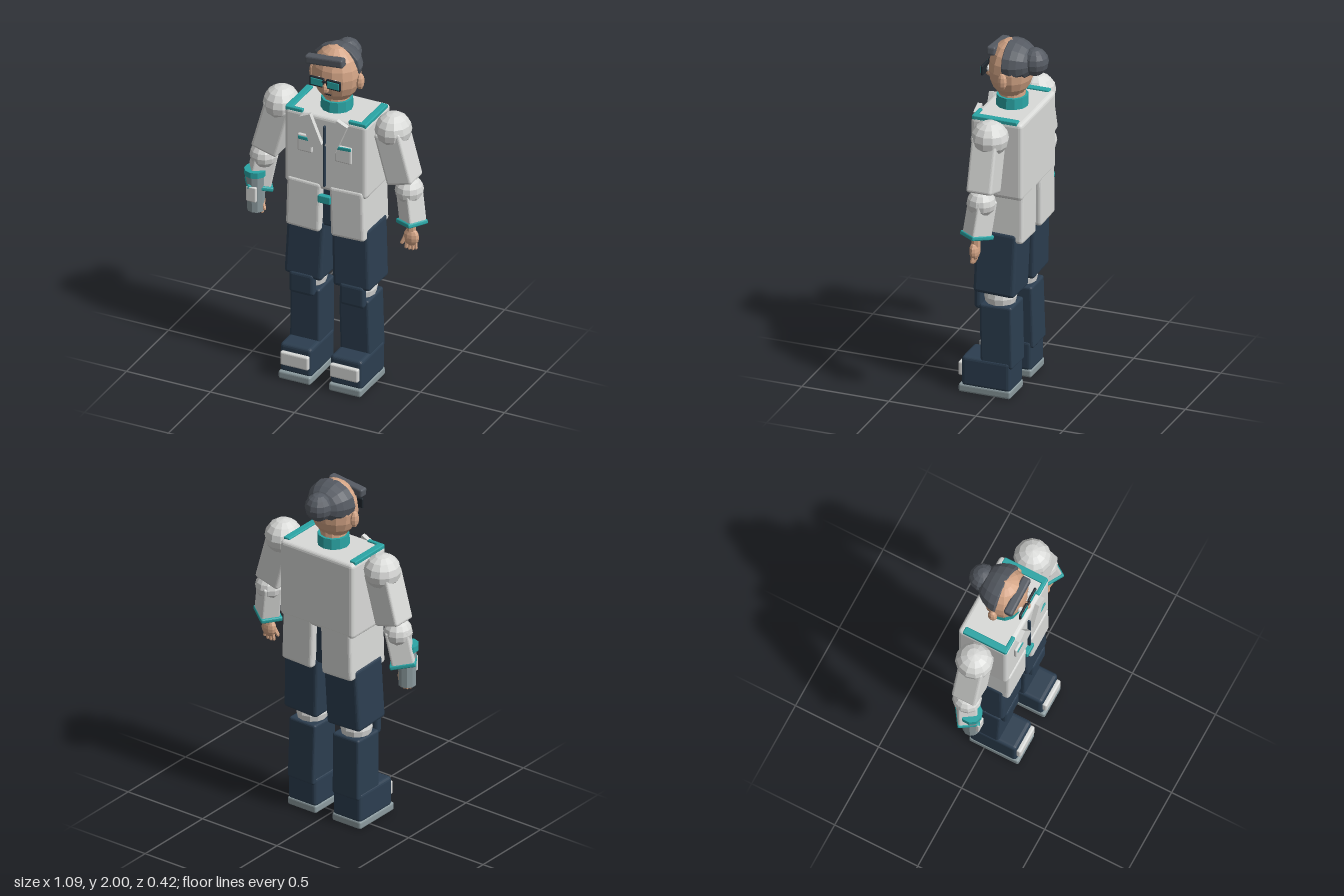
import * as THREE from 'three';
import { RoundedBoxGeometry } from 'three/addons/geometries/RoundedBoxGeometry.js';

const mat = (name, color) => {
  const m = new THREE.MeshStandardMaterial({ color, flatShading: true });
  m.name = name;
  return m;
};

export function createModel() {
  const coat = mat('coat white', 0xd9dad8);
  const navy = mat('navy cloth', 0x2c3e50);
  const teal = mat('teal trim', 0x2aa5a5);
  const skin = mat('skin', 0xd4a586);
  const hair = mat('grey hair', 0x555a62);
  const grey = mat('device grey', 0x8b9a9e);
  const dark = mat('dark frame', 0x20272e);

  const root = new THREE.Group();
  root.name = 'figure';

  // Placement helpers: the rotation runs y first, then x, then z
  const put = (name, geo, material, pos, rot = [0, 0, 0]) => {
    const m = new THREE.Mesh(geo, material);
    m.name = name;
    m.position.set(...pos);
    m.rotation.set(...rot, 'ZXY');
    root.add(m);
    return m;
  };
  const box = (name, material, size, pos, rot, r = 0.015) =>
    put(name, new RoundedBoxGeometry(...size, 2, Math.min(r, Math.min(...size) * 0.45)), material, pos, rot);
  const ball = (name, material, radii, pos, rot, w = 12, h = 8) =>
    put(name, new THREE.SphereGeometry(1, w, h).scale(...radii), material, pos, rot);
  const drum = (name, material, rTop, rBottom, height, pos, sides = 12) =>
    put(name, new THREE.CylinderGeometry(rTop, rBottom, height, sides), material, pos);

  // Torso and pelvis
  box('torso', coat, [0.49, 0.45, 0.295], [0, 1.395, -0.012], [0, 0, 0], 0.022);
  box('pelvis', navy, [0.38, 0.25, 0.22], [0, 1.06, -0.008]);
  drum('collar', teal, 0.086, 0.088, 0.075, [0, 1.645, -0.006]);
  drum('neck', skin, 0.07, 0.075, 0.1, [0, 1.68, -0.006]);
  box('zip', navy, [0.012, 0.37, 0.02], [0, 1.385, 0.142]);
  box('buckle', teal, [0.074, 0.046, 0.03], [0, 1.122, 0.138], [0, 0, 0], 0.005);

  // Chest pockets with trim
  box('rightPocket', coat, [0.088, 0.105, 0.02], [-0.115, 1.44, 0.142]);
  box('rightPocketTrim', teal, [0.06, 0.02, 0.008], [-0.122, 1.472, 0.153]);
  box('leftPocket', coat, [0.1, 0.1, 0.02], [0.113, 1.424, 0.142]);
  box('leftPocketTrim', teal, [0.1, 0.02, 0.008], [0.113, 1.464, 0.153], [0, 0, 0.06]);

  // Head
  ball('head', skin, [0.136, 0.166, 0.12], [0, 1.832, 0.0], [0, 0, 0], 14, 10);
  const cap = new THREE.SphereGeometry(1, 14, 12).rotateX(-Math.PI / 2).scale(0.142, 0.12, 0.145);
  const cp = cap.attributes.position;
  for (let i = 0; i < cp.count; i++) if (cp.getZ(i) > 0) cp.setZ(i, cp.getZ(i) * 0.12);
  put('hairCap', cap, hair, [0, 1.88, 0]);
  ball('hairBun', hair, [0.076, 0.078, 0.076], [0, 1.888, -0.135]);
  box('forelock', hair, [0.226, 0.05, 0.05], [-0.024, 1.935, 0.084], [0, 0, 0.1], 0.012);
  ball('nose', skin, [0.02, 0.034, 0.026], [0, 1.795, 0.125], [0, 0, 0], 8, 6);
  box('mouth', dark, [0.04, 0.006, 0.008], [0, 1.742, 0.101]);
  box('glassesBridge', dark, [0.04, 0.012, 0.012], [0, 1.836, 0.138]);

  for (const s of [1, -1]) {
    const side = s > 0 ? 'left' : 'right';
    const n = (part) => side + part;
    const p = (x, y, z) => [s * x, y, z];
    const r = (x, y, z) => [x, s * y, s * z];

    // Ears, eyes and glasses
    ball(n('Ear'), skin, [0.022, 0.048, 0.027], p(0.14, 1.805, -0.004), [0, 0, 0], 8, 6);
    ball(n('Eye'), coat, [0.018, 0.018, 0.012], p(0.046, 1.828, 0.11), [0, 0, 0], 8, 6);
    box(n('GlassesFrame'), dark, [0.086, 0.058, 0.014], p(0.049, 1.826, 0.133));
    box(n('Lens'), teal, [0.072, 0.042, 0.008], p(0.049, 1.826, 0.139));

    // Shoulder trim and lapel
    box(n('ShoulderTrim'), teal, [0.04, 0.026, 0.255], p(0.222, 1.617, -0.003), [0, 0, 0], 0.006);
    box(n('FrontTrim'), teal, [0.105, 0.026, 0.022], p(0.188, 1.617, 0.12), [0, 0, 0], 0.006);
    const lapel = new THREE.Shape([[0.08, 1.63], [0.142, 1.602], [0.072, 1.43], [0.01, 1.462]]
      .map(([x, y]) => new THREE.Vector2(s * x, y)));
    put(n('Lapel'), new THREE.ExtrudeGeometry(lapel, { depth: 0.026, bevelEnabled: false }), coat, [0, 0, 0.135]);

    // Coat skirt
    box(n('CoatSkirt'), coat, [0.203, 0.3, 0.302], p(0.13, 1.06, -0.008), r(0, 0, 0.03), 0.018);

    // Leg
    box(n('Thigh'), navy, [0.222, 0.37, 0.235], p(0.138, 0.78, -0.003), r(-0.03, 0, 0.04), 0.02);
    ball(n('Knee'), coat, [0.088, 0.088, 0.09], p(0.148, 0.565, 0));
    box(n('KneePad'), navy, [0.15, 0.135, 0.045], p(0.15, 0.56, 0.104), [0, 0, 0], 0.02);
    box(n('Shin'), navy, [0.178, 0.36, 0.186], p(0.148, 0.35, -0.006), r(0.025, 0, 0.015), 0.014);
    box(n('Boot'), navy, [0.188, 0.175, 0.28], p(0.15, 0.123, 0.05), [0, 0, 0], 0.02);
    box(n('Sole'), grey, [0.192, 0.048, 0.298], p(0.15, 0.024, 0.057), [0, 0, 0], 0.012);
    box(n('ToePlate'), coat, [0.168, 0.08, 0.03], p(0.148, 0.13, 0.198), [0, 0, 0], 0.01);

    // Arm
    ball(n('Shoulder'), coat, [0.1, 0.098, 0.104], p(0.333, 1.56, -0.012));
    box(n('UpperArm'), coat, [0.155, 0.3, 0.145], p(0.366, 1.415, -0.004), r(0, 0, 0.27));
    ball(n('Elbow'), coat, [0.078, 0.078, 0.08], p(0.432, 1.222, -0.003));
    box(n('Forearm'), coat, [0.126, 0.22, 0.106], p(0.444, 1.135, 0.001), r(-0.1, -0.58, 0.17), 0.012);
    box(n('Cuff'), teal, [0.143, 0.026, 0.122], p(0.455, 1.04, 0.012), r(-0.1, -0.58, 0.17), 0.008);

    // Hand
    drum(n('Wrist'), skin, 0.028, 0.026, 0.06, p(0.455, 1.005, 0.018), 8);
    ball(n('Palm'), skin, [0.046, 0.052, 0.028], p(0.457, 0.95, 0.023), [0, 0, 0], 10, 8);
    for (let i = 0; i < 4; i++) {
      const reach = [0.004, 0, 0.002, 0.012][i];
      put(n('Finger' + (i + 1)), new THREE.CapsuleGeometry(0.01, 0.045, 2, 6), skin,
        p(0.431 + i * 0.018, 0.903 + reach, 0.026), r(-0.1, 0, (i - 1.5) * 0.09));
    }
    put(n('Thumb'), new THREE.CapsuleGeometry(0.011, 0.04, 2, 6), skin, p(0.417, 0.93, 0.035), r(-0.2, 0, -0.4));
  }

  // Right wrist device
  drum('wristDevice', grey, 0.053, 0.048, 0.225, [-0.461, 1.01, 0.038], 10);
  drum('deviceBand', teal, 0.062, 0.062, 0.034, [-0.463, 1.128, 0.038], 10);
  box('devicePanel', coat, [0.058, 0.088, 0.02], [-0.462, 1.012, 0.088], [0, 0, 0], 0.005);

  return root;
}
